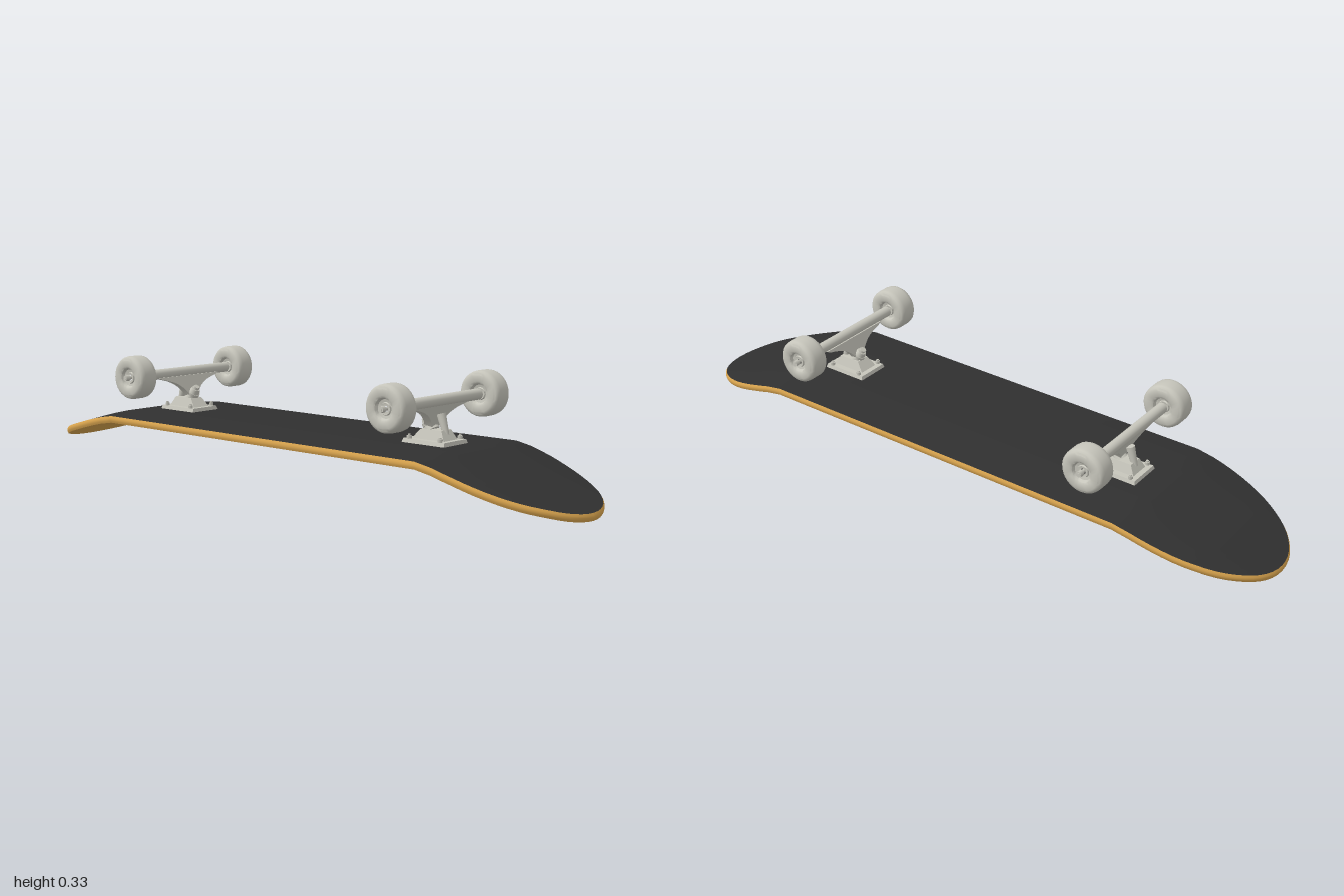
import * as THREE from 'three';
import { toCreasedNormals } from 'three/addons/utils/BufferGeometryUtils.js';

const material = (name, color, side = THREE.FrontSide) => {
  const m = new THREE.MeshStandardMaterial({ color, side });
  m.name = name;
  return m;
};

// Grid surface from a rule giving a point for each row and column
function sheet(rows, cols, point, flip = false) {
  const pos = [], index = [];
  for (let i = 0; i <= rows; i++) for (let j = 0; j <= cols; j++) pos.push(...point(i, j));
  for (let i = 0; i < rows; i++) for (let j = 0; j < cols; j++) {
    const a = i * (cols + 1) + j, b = a + cols + 1;
    if (flip) index.push(a, a + 1, b, b, a + 1, b + 1);
    else index.push(a, b, a + 1, b, b + 1, a + 1);
  }
  const g = new THREE.BufferGeometry();
  g.setAttribute('position', new THREE.Float32BufferAttribute(pos, 3));
  g.setIndex(index);
  g.computeVertexNormals();
  return g;
}

function add(parent, name, geometry, mat, x = 0, y = 0, z = 0) {
  const mesh = new THREE.Mesh(geometry, mat);
  mesh.name = name;
  mesh.position.set(x, y, z);
  parent.add(mesh);
  return mesh;
}

// Deck rules: half width, lengthwise bend and lowered side rails
const TIP = 0.996, BEND = 0.62, THICK = 0.021;
const PROFILE = [[-1, 0.035], [-0.84, 0.088], [-0.73, 0.119], [-0.66, 0.137], [-0.6, 0.147],
  [0.6, 0.147], [0.65, 0.138], [0.72, 0.117], [1, 0.022]];
const halfWidth = (x) => {
  const t = Math.max(0, (Math.abs(x) - BEND) / (TIP - BEND));
  return 0.23 * Math.sqrt(Math.max(0, 1 - Math.pow(t, 2.25)));
};
const deckY = (x, z) => {
  let k = 0;
  while (k < PROFILE.length - 2 && x > PROFILE[k + 1][0]) k++;
  const [[x0, y0], [x1, y1]] = [PROFILE[k], PROFILE[k + 1]];
  const rail = THREE.MathUtils.clamp((Math.abs(z) - 0.13) / 0.1, 0, 1);
  return y0 + (y1 - y0) * (x - x0) / (x1 - x0) - 0.01 * rail;
};

function buildDeck(grip, wood) {
  const deck = new THREE.Group();
  deck.name = 'deck';
  const end = [];
  for (let i = 0; i <= 18; i++) end.push(BEND + (TIP - BEND) * Math.sin((i / 18) * Math.PI / 2));
  const xs = [...end.map((x) => -x).reverse(), -0.6, -0.3, 0, 0.3, 0.6, ...end];
  const n = xs.length - 1;
  const face = (drop) => (i, j) => {
    const x = xs[i], z = halfWidth(x) * (j / 8 - 1);
    return [x, deckY(x, z) - drop, z];
  };
  add(deck, 'gripTape', sheet(n, 16, face(0), true), grip);
  add(deck, 'woodUnderside', sheet(n, 16, face(THICK)), wood);
  for (const s of [1, -1]) {
    const rim = (i, j) => {
      const x = xs[i], z = s * halfWidth(x), bulge = Math.sin((j / 4) * Math.PI);
      return [x * (1 + 0.004 * bulge), deckY(x, z) - THICK * (1 - j / 4), z * (1 + 0.015 * bulge)];
    };
    add(deck, s > 0 ? 'leftRim' : 'rightRim', sheet(n, 4, rim, s < 0), wood);
  }
  return deck;
}

// Box whose top is narrower than its base
function taperedBox(w, h, d, topW, topD, shift = 0) {
  const g = new THREE.BoxGeometry(w, h, d), p = g.attributes.position;
  for (let i = 0; i < p.count; i++) if (p.getY(i) > 0) {
    p.setX(i, p.getX(i) * topW / w + shift);
    p.setZ(i, p.getZ(i) * topD / d);
  }
  g.computeVertexNormals();
  return g;
}

const alongZ = (r, length, sides = 20) => new THREE.CylinderGeometry(r, r, length, sides).rotateX(Math.PI / 2);

// Wheel with rounded shoulders and a cupped hub on both faces
function wheelGeometry() {
  const half = [[0.008, 0.022], [0.016, 0.024], [0.018, 0.02], [0.026, 0.022], [0.03, 0.031],
    [0.036, 0.034], [0.053, 0.034], [0.06, 0.031], [0.0645, 0.025], [0.066, 0.016]];
  const pts = [...half.map(([r, y]) => [r, -y]), ...half.reverse()];
  const g = new THREE.LatheGeometry(pts.map(([r, y]) => new THREE.Vector2(r, y)), 32);
  return toCreasedNormals(g.rotateX(Math.PI / 2), 0.7);
}

// Curved triangular web under the axle housing
function webGeometry() {
  const s = new THREE.Shape();
  s.moveTo(-0.125, 0.255);
  s.lineTo(-0.115, 0.249);
  s.bezierCurveTo(-0.06, 0.238, -0.035, 0.225, -0.014, 0.189);
  s.lineTo(0.014, 0.189);
  s.bezierCurveTo(0.035, 0.225, 0.06, 0.238, 0.115, 0.249);
  s.lineTo(0.125, 0.255);
  const g = new THREE.ExtrudeGeometry(s, { depth: 0.026, bevelEnabled: false, curveSegments: 8 });
  g.translate(0, 0, -0.013).rotateY(Math.PI / 2);
  // Lean the web toward the kingpin
  const p = g.attributes.position;
  for (let i = 0; i < p.count; i++) p.setX(i, p.getX(i) + 0.015 - (0.265 - p.getY(i)) * 0.35);
  g.computeVertexNormals();
  return toCreasedNormals(g, 0.6);
}

function buildTruck(name, metal, dark) {
  const truck = new THREE.Group();
  truck.name = name;
  const axleX = 0.015, axleY = 0.265;
  add(truck, 'basePlate', taperedBox(0.146, 0.012, 0.108, 0.14, 0.1), metal, 0, 0.152, 0);
  add(truck, 'pedestal', taperedBox(0.11, 0.028, 0.064, 0.07, 0.044, 0.004), metal, 0, 0.171, 0);

  // Kingpin with its bushings, leaning inward
  const kingpin = new THREE.Group();
  kingpin.name = 'kingpin';
  kingpin.position.set(-0.008, 0.18, 0);
  kingpin.rotation.z = 0.6;
  truck.add(kingpin);
  add(kingpin, 'lowerBushing', new THREE.CylinderGeometry(0.017, 0.022, 0.018, 20), metal, 0, 0.009, 0);
  add(kingpin, 'hangerRing', new THREE.CylinderGeometry(0.019, 0.019, 0.01, 20), metal, 0, 0.022, 0);
  add(kingpin, 'upperBushing', new THREE.CylinderGeometry(0.013, 0.017, 0.014, 20), metal, 0, 0.034, 0);
  add(kingpin, 'kingpinNut', new THREE.CylinderGeometry(0.01, 0.01, 0.009, 6), metal, 0, 0.045, 0);
  const pivot = add(truck, 'pivot', new THREE.CylinderGeometry(0.013, 0.009, 0.06, 16), metal, 0.03, 0.2, 0);
  pivot.rotation.z = 0.3;

  // Hanger, axle and wheels
  add(truck, 'hangerWeb', webGeometry(), metal);
  add(truck, 'axleHousing', alongZ(0.016, 0.356), metal, axleX, axleY, 0);
  add(truck, 'axle', alongZ(0.005, 0.506, 12), metal, axleX, axleY, 0);
  const wheel = wheelGeometry();
  for (const s of [1, -1]) {
    add(truck, 'wheel', wheel, metal, axleX, axleY, s * 0.209);
    add(truck, 'axleNut', alongZ(0.009, 0.016, 6), metal, axleX, axleY, s * 0.244);
    // Mounting bolts above and their heads on the far side of the deck
    for (const x of [-0.053, 0.053]) {
      add(truck, 'boltNut', new THREE.CylinderGeometry(0.007, 0.007, 0.009, 6), metal, x, 0.162, s * 0.045);
      add(truck, 'boltShaft', new THREE.CylinderGeometry(0.004, 0.004, 0.014, 8), metal, x, 0.164, s * 0.045);
      add(truck, 'boltHead', new THREE.CylinderGeometry(0.008, 0.008, 0.003, 14), dark, x, 0.1255, s * 0.045);
    }
  }
  return truck;
}

export function createModel() {
  const board = new THREE.Group();
  board.name = 'skateboard';
  const grip = material('gripBlack', 0x303030, THREE.DoubleSide);
  const wood = material('maple', 0xd9a44e, THREE.DoubleSide);
  const metal = material('paleGrey', 0xc6c5bb);
  board.add(buildDeck(grip, wood));
  const front = buildTruck('noseTruck', metal, grip);
  front.position.x = 0.49;
  const rear = buildTruck('tailTruck', metal, grip);
  rear.position.x = -0.49;
  rear.rotation.y = Math.PI;
  board.add(front, rear);
  return board;
}
